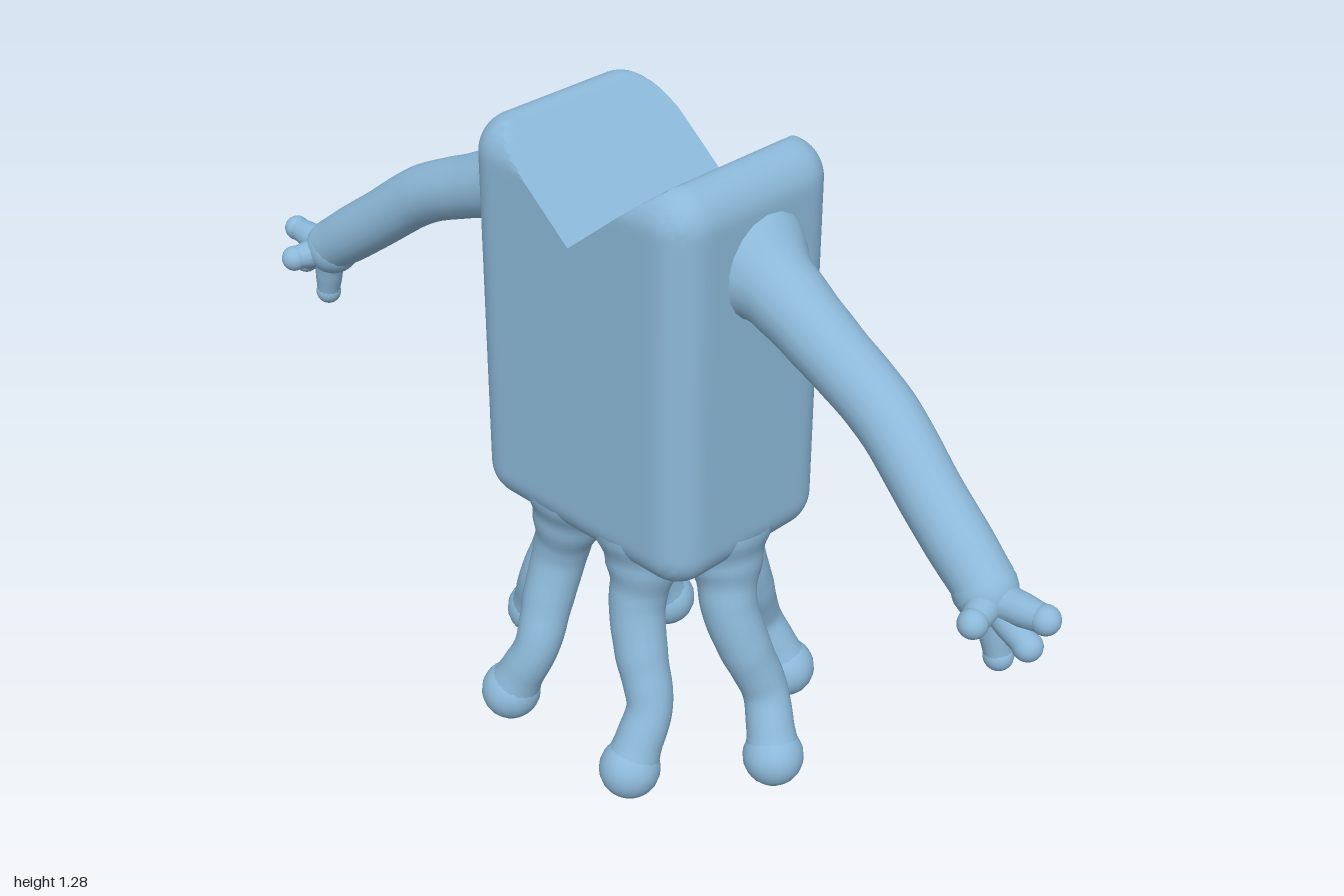
import * as THREE from 'three';
import { toCreasedNormals } from 'three/addons/utils/BufferGeometryUtils.js';

const skin = new THREE.MeshStandardMaterial({ color: 0x8cb8d8 });
skin.name = 'paleBlueSkin';

function part(name, geometry) {
  const mesh = new THREE.Mesh(geometry, skin);
  mesh.name = name;
  return mesh;
}

// Tube whose radius follows a list of values spread evenly along its length
function taperedTube(points, radii, rings = 40, sides = 20) {
  const curve = new THREE.CatmullRomCurve3(points.map(p => new THREE.Vector3(...p)));
  const geo = new THREE.TubeGeometry(curve, rings, 1, sides);
  const pos = geo.attributes.position;
  const v = new THREE.Vector3();
  for (let i = 0; i <= rings; i++) {
    const c = curve.getPointAt(i / rings);
    const t = (i / rings) * (radii.length - 1);
    const k = Math.min(Math.floor(t), radii.length - 2);
    const r = THREE.MathUtils.lerp(radii[k], radii[k + 1], THREE.MathUtils.smoothstep(t - k, 0, 1));
    for (let j = 0; j <= sides; j++) {
      const n = i * (sides + 1) + j;
      v.fromBufferAttribute(pos, n).sub(c).multiplyScalar(r).add(c);
      pos.setXYZ(n, v.x, v.y, v.z);
    }
  }
  geo.computeVertexNormals();
  // Keep the seam along the tube smooth
  const nor = geo.attributes.normal;
  for (let i = 0; i <= rings; i++) {
    const a = i * (sides + 1), b = a + sides;
    v.fromBufferAttribute(nor, a);
    v.x += nor.getX(b); v.y += nor.getY(b); v.z += nor.getZ(b);
    v.normalize();
    nor.setXYZ(a, v.x, v.y, v.z);
    nor.setXYZ(b, v.x, v.y, v.z);
  }
  return geo;
}

function ball(name, [x, y, z], r) {
  const mesh = part(name, new THREE.SphereGeometry(r, 20, 14));
  mesh.position.set(x, y, z);
  return mesh;
}

// Rounded block with a V-shaped notch cut into its top
function bodyGeometry() {
  const half = new THREE.Vector3(0.275, 0.4, 0.2), radius = 0.075;
  const inner = half.clone().subScalar(radius);
  const geo = new THREE.BoxGeometry(0.55, 0.8, 0.4, 44, 64, 32);
  const pos = geo.attributes.position;
  const p = new THREE.Vector3(), core = new THREE.Vector3();
  for (let i = 0; i < pos.count; i++) {
    p.fromBufferAttribute(pos, i);
    core.copy(p).clamp(inner.clone().negate(), inner);
    p.sub(core).setLength(radius).add(core);
    p.y = Math.min(p.y + 0.885, 1.115 + 0.83 * Math.abs(p.x));
    pos.setXYZ(i, p.x, p.y, p.z);
  }
  return toCreasedNormals(geo, 0.5);
}

// Arm reaching out, down and slightly forward, with a small four-fingered hand
function createArm(side) {
  const arm = new THREE.Group();
  arm.name = side > 0 ? 'leftArm' : 'rightArm';
  const at = ([x, y, z]) => [x * side, y, z];
  const path = [[0.24, 1.1, -0.01], [0.31, 1.08, 0], [0.44, 1.025, 0.015],
    [0.59, 0.96, 0.035], [0.72, 0.865, 0.06], [0.85, 0.77, 0.08]];
  arm.add(part('armTube', taperedTube(path.map(at),
    [0.11, 0.073, 0.066, 0.062, 0.06, 0.058, 0.057, 0.057, 0.054])));
  arm.add(ball('palm', at([0.85, 0.765, 0.08]), 0.056));
  const tips = [[0.971, 0.765, 0.08], [0.945, 0.7, 0.083], [0.886, 0.645, 0.075], [0.885, 0.752, 0.155]];
  for (const tip of tips) {
    const root = [0.862, 0.757, 0.08];
    const mid = root.map((c, k) => (c + tip[k]) / 2);
    arm.add(part('finger', taperedTube([root, mid, tip].map(at), [0.036, 0.029, 0.024], 12, 14)));
    arm.add(ball('fingertip', at(tip), 0.026));
  }
  return arm;
}

// Wavy leg spreading outward in the given direction; rows are height, reach, sway, depth scale
function createLeg(angle) {
  const leg = new THREE.Group();
  leg.name = 'leg';
  const rows = [[0.53, 0.19, 0, 0.64], [0.45, 0.21, 0.004, 0.64], [0.37, 0.23, 0.014, 0.64],
    [0.28, 0.26, 0, 0.67], [0.18, 0.292, -0.026, 0.71], [0.11, 0.322, -0.012, 0.74], [0.06, 0.342, 0, 0.755]];
  const c = Math.cos(angle), s = Math.sin(angle);
  const path = rows.map(([y, r, w, k]) => [c * r - s * w, y, s * r * k + c * w]);
  leg.add(part('legTube', taperedTube(path,
    [0.1, 0.074, 0.057, 0.054, 0.052, 0.048, 0.045, 0.047, 0.054])));
  leg.add(ball('foot', path[path.length - 1], 0.06));
  return leg;
}

export function createModel() {
  const model = new THREE.Group();
  model.name = 'sixLeggedCreature';
  model.add(part('body', bodyGeometry()));
  for (const side of [1, -1]) model.add(createArm(side));
  for (let i = 0; i < 6; i++) model.add(createLeg((i * Math.PI) / 3));
  return model;
}
